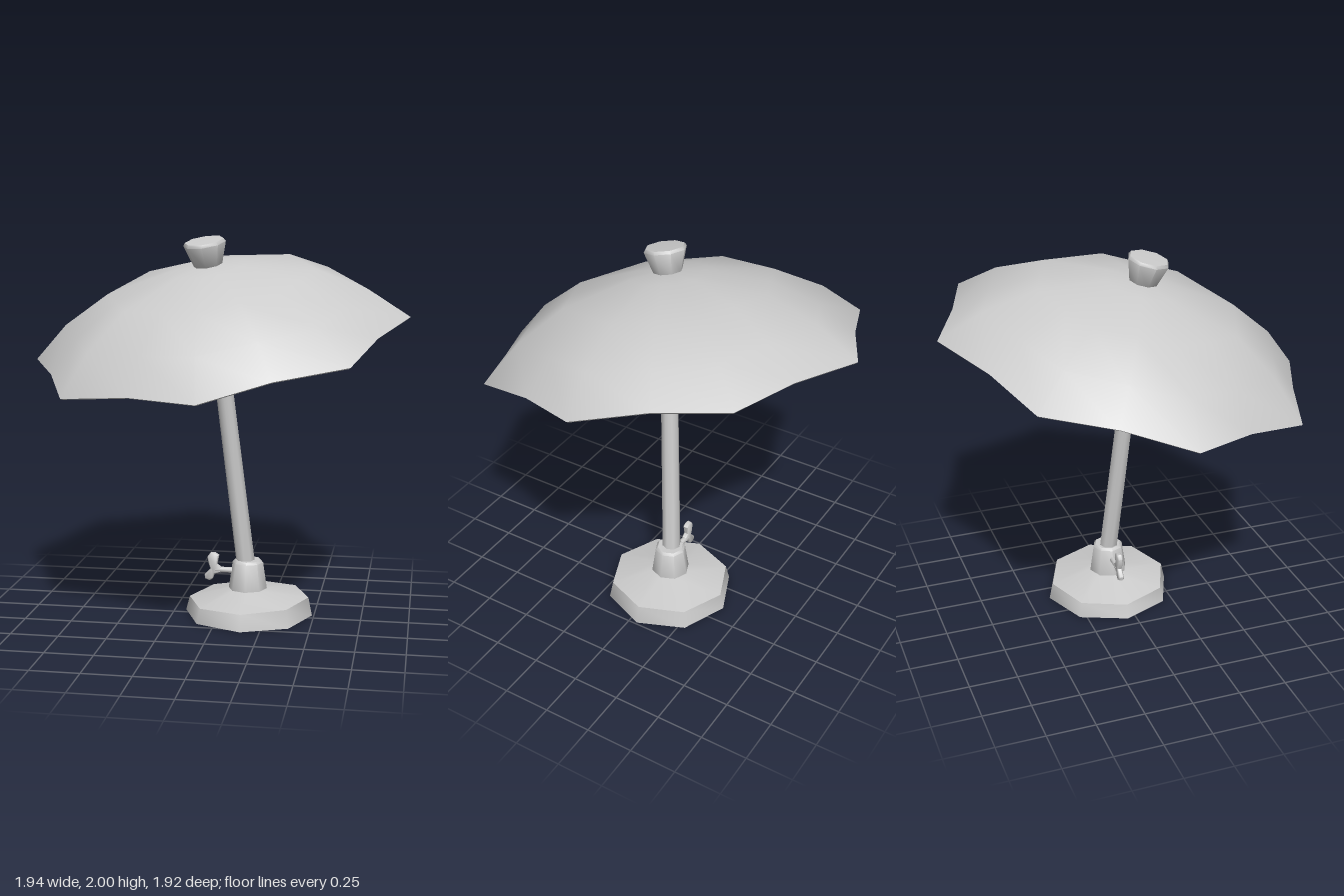
import * as THREE from 'three';
import { toCreasedNormals } from 'three/addons/utils/BufferGeometryUtils.js';

const material = new THREE.MeshStandardMaterial({ color: 0xcccccc });
const openMaterial = new THREE.MeshStandardMaterial({ color: 0xcccccc, side: THREE.DoubleSide });

const BASE = new THREE.Vector3(0.15, 0, -0.045);
const UP = new THREE.Vector3(0, 1, 0);

function part(name, geometry, crease = 0.9, mat = material) {
  const mesh = new THREE.Mesh(toCreasedNormals(geometry, crease), mat);
  mesh.name = name;
  return mesh;
}

// Turned part from [radius, height] pairs listed from bottom to top
function lathe(profile, sides) {
  return new THREE.LatheGeometry(profile.map(([r, y]) => new THREE.Vector2(r, y)), sides);
}

// Thin eight-ribbed shell: flat panels between the ribs and a scalloped hem
function canopyGeometry() {
  const profile = [
    [0, 0.33], [0.13, 0.365], [0.53, 0.285], [0.775, 0.15], [0.968, -0.008], // underside
    [0.98, 0], [0.79, 0.166], [0.54, 0.303], [0.2, 0.38], [0, 0.4],          // top side
  ];
  const geometry = lathe(profile, 16);
  const pos = geometry.attributes.position;
  for (let i = 0; i < pos.count; i++) {
    const column = Math.floor(i / profile.length);
    const row = i % profile.length;
    if (column % 2 === 0) continue;
    const hem = row === 4 || row === 5;
    const s = Math.cos(Math.PI / 8) * (hem ? 0.98 : 1);
    pos.setXYZ(i, pos.getX(i) * s, pos.getY(i) + (hem ? 0.014 : 0), pos.getZ(i) * s);
  }
  return geometry;
}

export function createModel() {
  const model = new THREE.Group();
  model.name = 'tiltedParasol';

  // Hollow octagonal foot, its upper rim leaning slightly
  const footGeometry = lathe([[0.34, 0], [0.32, 0.087], [0.09, 0.14]], 8);
  const footPos = footGeometry.attributes.position;
  for (let i = 0; i < footPos.count; i++) {
    const y = footPos.getY(i);
    if (y > 0.05 && y < 0.1) footPos.setY(i, y + footPos.getX(i) * 0.035);
  }
  const foot = part('foot', footGeometry, 0.85, openMaterial);
  foot.position.copy(BASE);
  model.add(foot);

  // Tapered socket that holds the pole
  const socket = part('socket',
    lathe([[0, 0.1], [0.1, 0.1], [0.102, 0.14], [0.082, 0.28], [0.07, 0.293], [0, 0.293]], 8), 0.85);
  socket.position.copy(BASE).add(new THREE.Vector3(-0.005, 0, 0));
  model.add(socket);

  // Leaning pole
  const bottom = new THREE.Vector3(0.147, 0.15, -0.055);
  const top = new THREE.Vector3(-0.039, 1.83, 0.076);
  const pole = part('pole', new THREE.CylinderGeometry(0.043, 0.05, bottom.distanceTo(top), 8));
  pole.position.copy(bottom).lerp(top, 0.5);
  pole.quaternion.setFromUnitVectors(UP, top.clone().sub(bottom).normalize());
  model.add(pole);

  // Wing screw on the side of the socket
  const screw = new THREE.Group();
  screw.name = 'wingScrew';
  const stem = part('screwStem', new THREE.CylinderGeometry(0.016, 0.016, 0.12, 8));
  stem.rotation.z = Math.PI / 2;
  stem.position.set(0.03, 0.23, 0);
  const outline = [
    [0, 0.245], [-0.02, 0.26], [-0.01, 0.31], [-0.03, 0.322], [-0.055, 0.322], [-0.072, 0.3],
    [-0.065, 0.26], [-0.055, 0.235], [-0.088, 0.2], [-0.085, 0.18], [-0.06, 0.17],
    [-0.042, 0.183], [-0.035, 0.208], [0, 0.217],
  ].map(([x, y]) => new THREE.Vector2(x, y));
  const wingGeometry = new THREE.ExtrudeGeometry(new THREE.Shape(outline), {
    depth: 0.016, bevelEnabled: true, bevelThickness: 0.006, bevelSize: 0.005, bevelOffset: -0.005, bevelSegments: 1,
  });
  wingGeometry.translate(0, 0, -0.008);
  screw.add(stem, part('screwWings', wingGeometry));
  screw.position.z = BASE.z;
  model.add(screw);

  // Tilted top assembly
  const head = new THREE.Group();
  head.name = 'head';
  head.position.set(0, 1.475, 0);
  head.quaternion.setFromUnitVectors(UP, new THREE.Vector3(-0.123, 1, 0.214).normalize());
  head.quaternion.multiply(new THREE.Quaternion().setFromAxisAngle(UP, 0.03));
  head.add(part('canopy', canopyGeometry(), 1.0, openMaterial));

  // Flared finial
  head.add(part('finial',
    lathe([[0, 0.37], [0.06, 0.37], [0.073, 0.39], [0.109, 0.503], [0.1, 0.518], [0, 0.522]], 8), 1.0));
  model.add(head);

  return model;
}
